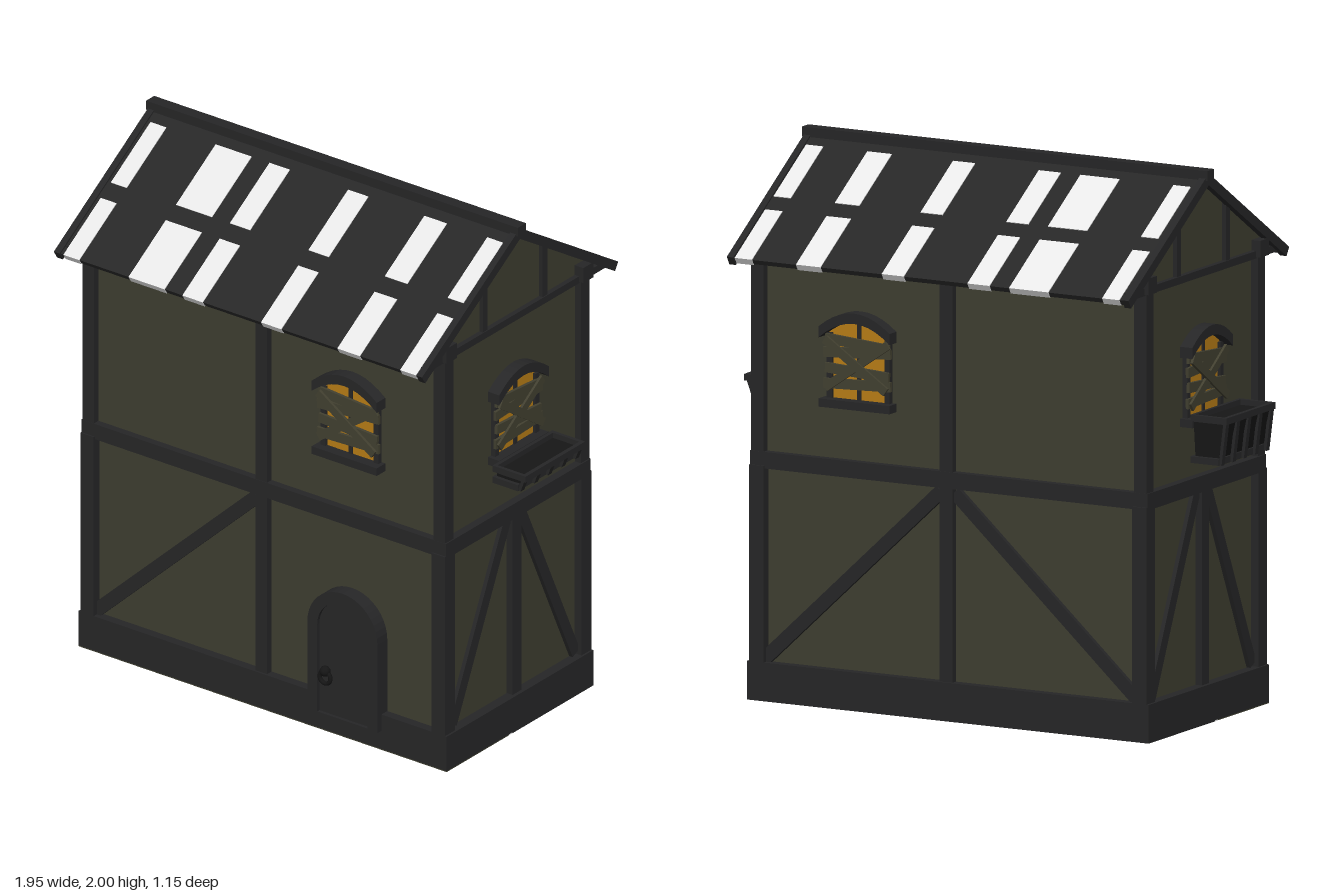
import * as THREE from 'three';

const mat = (name, color, side = THREE.FrontSide) => {
  const m = new THREE.MeshStandardMaterial({ color, side });
  m.name = name;
  return m;
};

export function createModel() {
  const timber = mat('dark timber', 0x262627);
  const roofing = mat('roof slate', 0x272727);
  const plaster = mat('olive plaster', 0x3e3e30);
  const plank = mat('weathered plank', 0x424030);
  const glass = mat('amber glass', 0xb87d16);
  const pale = mat('pale patch', 0xe8e8e8);
  const iron = mat('black iron', 0x161616);
  const model = new THREE.Group();
  model.name = 'timberHouse';

  const add = (parent, name, geo, material, x = 0, y = 0, z = 0) => {
    const m = new THREE.Mesh(geo, material);
    m.name = name;
    m.position.set(x, y, z);
    parent.add(m);
    return m;
  };
  // box given by its extents
  const box = (parent, name, material, x0, x1, y0, y1, z0, z1) =>
    add(parent, name, new THREE.BoxGeometry(x1 - x0, y1 - y0, z1 - z0), material,
      (x0 + x1) / 2, (y0 + y1) / 2, (z0 + z1) / 2);
  // slanted beam between two points of a facade
  const beam = (parent, name, material, ax, ay, bx, by, w, z, d) => {
    const m = add(parent, name, new THREE.BoxGeometry(Math.hypot(bx - ax, by - ay), w, d),
      material, (ax + bx) / 2, (ay + by) / 2, z);
    m.rotation.z = Math.atan2(by - ay, bx - ax);
    return m;
  };
  const group = (parent, name, x = 0, y = 0, z = 0, ry = 0) => {
    const g = new THREE.Group();
    g.name = name;
    g.position.set(x, y, z);
    g.rotation.y = ry;
    parent.add(g);
    return g;
  };
  const extrude = (shape, depth) =>
    new THREE.ExtrudeGeometry(shape, { depth, bevelEnabled: false, curveSegments: 10 });

  // ---- body, plinth and underside ----
  box(model, 'walls', plaster, -0.78, 0.78, 0.02, 1.62, -0.395, 0.395);
  box(model, 'plinth', timber, -0.82, 0.82, 0.004, 0.14, -0.43, 0.43);
  box(model, 'floorBack', timber, -0.82, 0.82, 0, 0.004, -0.43, 0.045);
  box(model, 'floorGap', pale, -0.82, 0.82, 0, 0.004, 0.045, 0.065);
  box(model, 'floorFront', plaster, -0.82, 0.82, 0, 0.004, 0.065, 0.43);
  box(model, 'midBeam', timber, -0.812, 0.812, 0.84, 0.9, -0.424, 0.424);
  for (const sx of [-1, 1]) for (const sz of [-1, 1]) {
    add(model, 'lowerCornerPost', new THREE.BoxGeometry(0.06, 0.72, 0.06), timber, sx * 0.782, 0.49, sz * 0.4);
    add(model, 'upperCornerPost', new THREE.BoxGeometry(0.05, 0.74, 0.05), timber, sx * 0.782, 1.26, sz * 0.398);
    add(model, 'postCap', new THREE.BoxGeometry(0.06, 0.06, 0.06), timber, sx * 0.79, 1.65, sz * 0.4);
  }

  // ---- boarded window, origin at sill centre on the wall ----
  const lintelShape = new THREE.Shape();
  lintelShape.moveTo(-0.145, 0.25);
  lintelShape.quadraticCurveTo(0, 0.375, 0.145, 0.25);
  lintelShape.lineTo(0.145, 0.29);
  lintelShape.quadraticCurveTo(0, 0.41, -0.145, 0.29);
  const paneShape = new THREE.Shape();
  paneShape.moveTo(-0.125, 0.02);
  paneShape.lineTo(0.125, 0.02);
  paneShape.lineTo(0.125, 0.265);
  paneShape.quadraticCurveTo(0, 0.375, -0.125, 0.265);
  const buildWindow = (parent, x, z) => {
    const w = group(parent, 'boardedWindow', x, 1.09, z);
    add(w, 'pane', extrude(paneShape, 0.008), glass);
    add(w, 'archedLintel', extrude(lintelShape, 0.05), timber);
    box(w, 'sill', timber, -0.145, 0.145, 0, 0.03, 0, 0.05);
    box(w, 'mullion', timber, -0.008, 0.008, 0.03, 0.32, 0, 0.014);
    for (const s of [-1, 1])
      add(w, 'jamb', new THREE.BoxGeometry(0.022, 0.24, 0.02), timber, s * 0.118, 0.145, 0.01);
    [[0.088, 0.01], [0.133, -0.015], [0.203, 0.015], [0.236, -0.02]].forEach(([y, t], i) => {
      const h = i % 2 ? 0.13 : 0.137;
      beam(w, 'plank', plank, -h, y - t / 2, h, y + t / 2, 0.036, 0.024, 0.012);
    });
    beam(w, 'crossPlank', plank, -0.125, 0.07, 0.13, 0.245, 0.032, 0.034, 0.01);
    beam(w, 'crossPlank', plank, -0.125, 0.245, 0.125, 0.075, 0.032, 0.04, 0.01);
  };

  // ---- planter trough with slats and rims ----
  const buildPlanter = (parent, y0, y1, cx, taper) => {
    const p = group(parent, 'planter', cx, 0, 0);
    const s = new THREE.Shape();
    s.moveTo(0.045 + taper * 0.4, y0);
    s.lineTo(0.165 - taper, y0);
    s.lineTo(0.178, y1 - 0.02);
    s.lineTo(0.045, y1 - 0.02);
    const trough = add(p, 'trough', extrude(s, 0.32), iron, 0.16);
    trough.rotation.y = -Math.PI / 2;
    for (const y of [y0 + 0.012, y1 - 0.012]) {
      const out = y > (y0 + y1) / 2 ? 0.187 : 0.178 - taper;
      box(p, 'frontRim', timber, -0.175, 0.175, y - 0.012, y + 0.012, out - 0.016, out);
      box(p, 'backRim', timber, -0.175, 0.175, y - 0.012, y + 0.012, 0.04, 0.054);
      for (const e of [-1, 1])
        add(p, 'endRim', new THREE.BoxGeometry(0.014, 0.024, out - 0.045), timber, e * 0.168, y, (out + 0.045) / 2);
    }
    for (let i = -2; i <= 2; i++) {
      const slat = add(p, 'slat', new THREE.BoxGeometry(0.022, y1 - y0, 0.012), timber,
        i * 0.08, (y0 + y1) / 2, 0.181 - taper / 2);
      slat.rotation.x = Math.atan2(taper, y1 - y0);
    }
    for (const e of [-1, 1])
      add(p, 'bracket', new THREE.BoxGeometry(0.02, 0.03, 0.07), timber, e * 0.1, y1 - 0.04, 0.025);
  };

  // ---- long facades: front and back ----
  const front = group(model, 'frontFacade');
  const back = group(model, 'backFacade', 0, 0, 0, Math.PI);
  for (const f of [front, back]) {
    box(f, 'centrePost', timber, -0.038, 0.014, 0.14, 1.62, 0.39, 0.422);
    box(f, 'topPlate', timber, -0.78, 0.78, 1.605, 1.63, 0.39, 0.415);
    beam(f, 'brace', timber, -0.76, 0.15, -0.04, 0.825, 0.05, 0.4, 0.024);
  }
  beam(back, 'brace', timber, 0.76, 0.15, 0.015, 0.825, 0.05, 0.4, 0.024);
  buildWindow(front, 0.375, 0.395);
  buildWindow(back, -0.375, 0.395);

  // ---- gable ends ----
  const gableShape = new THREE.Shape();
  gableShape.moveTo(-0.54, 1.62);
  gableShape.lineTo(0.54, 1.62);
  gableShape.lineTo(0, 1.962);
  for (const s of [1, -1]) {
    const g = group(model, s > 0 ? 'leftEnd' : 'rightEnd', 0, 0, 0, s * Math.PI / 2);
    add(g, 'gablePanel', extrude(gableShape, 0.02), plaster, 0, 0, 0.762);
    box(g, 'gableBeam', timber, -0.54, 0.54, 1.615, 1.642, 0.76, 0.802);
    box(g, 'centrePost', timber, -0.026, 0.026, 0.14, 0.84, 0.77, 0.806);
    for (const e of [-1, 1]) {
      box(g, 'gableStud', timber, e * 0.175 - 0.014, e * 0.175 + 0.014, 1.64, 1.85, 0.77, 0.798);
      beam(g, 'brace', timber, e * 0.36, 0.15, e * 0.04, 0.84, 0.045, 0.784, 0.024);
    }
    buildWindow(g, 0.01, 0.78);
    const hold = group(g, 'planterMount', 0, 0, 0.79);
    if (s > 0) buildPlanter(hold, 1.05, 1.118, 0, 0.025);
    else buildPlanter(hold, 0.968, 1.142, 0.025, 0.022);
  }

  // ---- roof slopes with pale patches ----
  const patches = [[-0.78, -0.71], [-0.49, -0.33], [-0.25, -0.16], [0.1, 0.19], [0.44, 0.54], [0.72, 0.79]];
  for (const s of [1, -1]) {
    const turn = group(model, s > 0 ? 'frontRoof' : 'backRoof', 0, 1.98, 0, s > 0 ? 0 : Math.PI);
    const slope = group(turn, 'slope');
    slope.rotation.x = Math.atan2(0.36, 0.57);
    box(slope, 'slab', roofing, -0.81, 0.81, -0.02, 0, 0, 0.672);
    for (const [a, b] of patches) for (const [z0, z1] of [[0.07, 0.345], [0.415, 0.674]])
      box(slope, 'patch', pale, s > 0 ? a : -b, s > 0 ? b : -a, -0.023, 0.003, z0, z1);
    for (const e of [-1, 1])
      add(slope, 'bargeboard', new THREE.BoxGeometry(0.026, 0.036, 0.676), timber, e * 0.807, -0.012, 0.338);
  }
  box(model, 'ridgeCap', timber, -0.828, 0.828, 1.965, 2.0, -0.024, 0.024);

  // ---- arched door ----
  const arch = (hw, spring, bottom) => {
    const s = new THREE.Shape();
    s.moveTo(-hw, bottom);
    s.lineTo(hw, bottom);
    s.lineTo(hw, spring);
    s.absarc(0, spring, hw, 0, Math.PI, false);
    s.lineTo(-hw, bottom);
    return s;
  };
  const door = group(model, 'door', 0.373, 0, 0.39);
  const frame = arch(0.156, 0.425, 0.075);
  frame.holes.push(arch(0.112, 0.425, 0.08));
  add(door, 'doorFrame', extrude(frame, 0.063), timber);
  add(door, 'doorLeaf', extrude(arch(0.113, 0.425, 0.078), 0.05), timber);
  add(door, 'knockerRing', new THREE.TorusGeometry(0.024, 0.008, 8, 16), iron, -0.078, 0.225, 0.062);
  add(door, 'knockerBoss', new THREE.SphereGeometry(0.02, 10, 8), iron, -0.078, 0.25, 0.062);

  return model;
}
